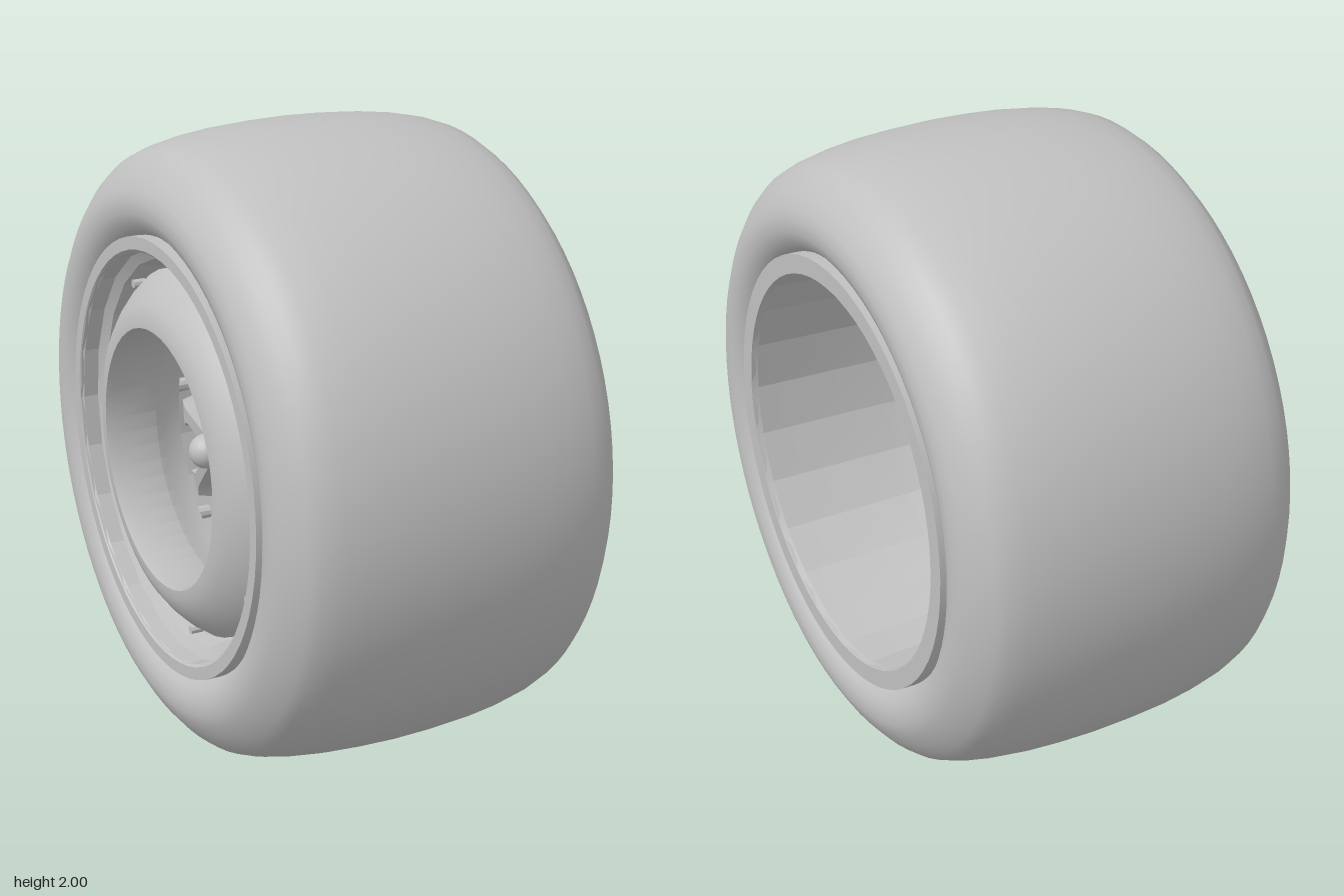
import * as THREE from 'three';
import { toCreasedNormals } from 'three/addons/utils/BufferGeometryUtils.js';

const grey = new THREE.MeshStandardMaterial({ color: 0xc0c0c0 });
grey.name = 'plain grey';

// Profile points are [radius, x]; the wheel axis is x.
function ring(points, sides, crease) {
  const g = new THREE.LatheGeometry(points.map(([r, x]) => new THREE.Vector2(r, x)), sides);
  g.rotateZ(-Math.PI / 2);
  return crease ? toCreasedNormals(g, crease) : g;
}

function axialCylinder(radius, x0, x1, sides, turn = 0) {
  const g = new THREE.CylinderGeometry(radius, radius, x1 - x0, sides);
  g.rotateY(turn);
  g.rotateZ(-Math.PI / 2);
  g.translate((x0 + x1) / 2, 0, 0);
  return toCreasedNormals(g, 0.45);
}

// Spoke with a flared foot, leaning along the axis as it runs outward
function spokeGeometry() {
  const s = new THREE.Shape();
  s.moveTo(-0.022, 0.05);
  s.lineTo(0.022, 0.05);
  s.lineTo(0.022, 0.46);
  s.quadraticCurveTo(0.024, 0.52, 0.052, 0.545);
  s.lineTo(-0.052, 0.545);
  s.quadraticCurveTo(-0.024, 0.52, -0.022, 0.46);
  s.closePath();
  const g = new THREE.ExtrudeGeometry(s, { depth: 0.1, bevelEnabled: false, curveSegments: 5 });
  g.rotateY(Math.PI / 2);
  const p = g.attributes.position;
  for (let i = 0; i < p.count; i++) {
    p.setX(i, p.getX(i) - 0.37 + 0.26 * p.getY(i));
  }
  g.computeVertexNormals();
  return g;
}

export function createModel() {
  const wheel = new THREE.Group();
  wheel.name = 'wheel';
  wheel.position.y = 1;

  const add = (name, geometry, parent = wheel) => {
    const m = new THREE.Mesh(geometry, grey);
    m.name = name;
    parent.add(m);
    return m;
  };

  // Tyre: half profile mirrored across the middle
  const half = [
    [0.685, 0.5], [0.70, 0.525], [0.725, 0.55], [0.76, 0.563], [0.8, 0.565], [0.835, 0.553],
    [0.875, 0.53], [0.915, 0.497], [0.94, 0.465], [0.96, 0.41], [0.977, 0.33], [0.99, 0.23],
    [0.997, 0.12],
  ];
  const tyre = [
    ...half.map(([r, x]) => [r, -x]), [1, 0], ...half.slice().reverse(),
  ];
  add('tyre', ring(tyre, 80));

  // Rim flanges
  add('rightFlange', ring([[0.64, -0.54], [0.65, -0.552], [0.69, -0.552], [0.69, -0.49]], 64, 0.5));
  add('leftFlange', ring([[0.69, 0.49], [0.69, 0.552], [0.63, 0.552], [0.625, 0.53]], 64, 0.5));

  // Barrel, coarse sided, narrowing toward the spokes and opening again
  add('barrel', ring([
    [0.632, 0.55], [0.615, 0.1], [0.59, -0.02], [0.53, -0.28], [0.6, -0.40], [0.615, -0.47],
    [0.645, -0.49], [0.645, -0.55],
  ], 24, 0.2));

  // Domed cover with a conical opening
  add('cover', ring([
    [0.54, -0.27], [0.49, -0.28], [0.455, -0.28], [0.44, -0.34], [0.415, -0.38], [0.405, -0.53],
    [0.41, -0.558], [0.44, -0.556], [0.48, -0.54], [0.52, -0.51], [0.555, -0.475],
    [0.58, -0.44], [0.58, -0.39],
  ], 48, 0.5));

  // Hub, disc and centre nut
  add('hubDisc', axialCylinder(0.385, -0.06, 0, 12, Math.PI / 12));
  add('hub', axialCylinder(0.075, -0.36, -0.03, 20));
  const nut = add('centreNut', new THREE.SphereGeometry(0.055, 20, 14));
  nut.position.x = -0.39;

  // Spokes
  const spoke = spokeGeometry();
  const spokes = new THREE.Group();
  spokes.name = 'spokes';
  wheel.add(spokes);
  for (let i = 0; i < 14; i++) {
    add('spoke', spoke, spokes).rotation.x = (i / 14) * Math.PI * 2 + 0.09;
  }

  // Small studs behind the cover and on its edge
  const stud = axialCylinder(0.022, -0.3, -0.23, 10).translate(0, 0.495, 0);
  const bolt = axialCylinder(0.014, -0.49, -0.45, 8).translate(0, 0.565, 0);
  for (let i = 0; i < 7; i++) {
    const angle = ((i + 0.25) / 7) * Math.PI * 2 + 0.09;
    add('stud', stud).rotation.x = angle;
    add('coverBolt', bolt).rotation.x = angle;
  }

  const model = new THREE.Group();
  model.name = 'model';
  model.add(wheel);
  return model;
}
